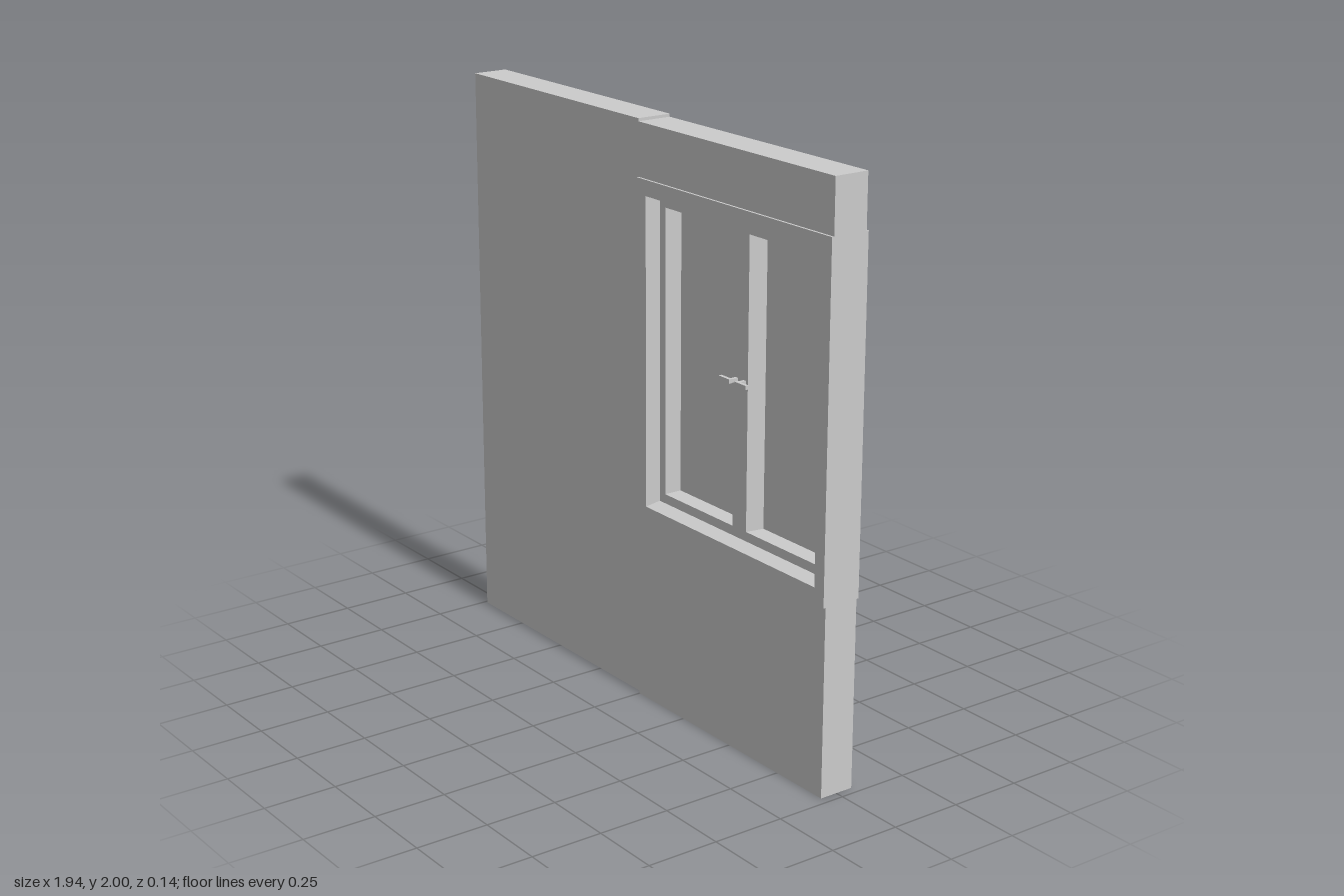
import * as THREE from 'three';

const grey = new THREE.MeshStandardMaterial({ color: 0xcccccc, flatShading: true });
const paneGrey = new THREE.MeshStandardMaterial({ color: 0xf0f0f0, flatShading: true });

// Box given by its limits on each axis
function block(name, [x0, x1], [y0, y1], [z0, z1], material = grey) {
  const mesh = new THREE.Mesh(new THREE.BoxGeometry(x1 - x0, y1 - y0, z1 - z0), material);
  mesh.position.set((x0 + x1) / 2, (y0 + y1) / 2, (z0 + z1) / 2);
  mesh.name = name;
  return mesh;
}

// Skin through rectangular loops [x0, x1, y0, y1, z]; the last joins the first
function rectLoft(loops) {
  const rings = loops.map(([x0, x1, y0, y1, z]) => [[x0, y0, z], [x1, y0, z], [x1, y1, z], [x0, y1, z]]);
  const pos = [];
  rings.forEach((a, k) => {
    const b = rings[(k + 1) % rings.length];
    for (let i = 0; i < 4; i++) {
      const j = (i + 1) % 4;
      pos.push(...a[i], ...a[j], ...b[j], ...a[i], ...b[j], ...b[i]);
    }
  });
  const geo = new THREE.BufferGeometry();
  geo.setAttribute('position', new THREE.Float32BufferAttribute(pos, 3));
  geo.computeVertexNormals();
  return geo;
}

export function createModel() {
  const model = new THREE.Group();
  model.name = 'wallWithWindow';
  const wallZ = [-0.062, 0.062];
  const frameY = [0.645, 1.81], paneY = [0.745, 1.72];

  // Plain panel, set slightly higher than the window panel
  model.add(block('plainWallPanel', [-0.97, 0], [0.01, 2], wallZ));

  // Wall below and above the window
  model.add(block('lowerWall', [0, 0.97], [0, frameY[0]], wallZ));
  model.add(block('upperWall', [0, 0.97], [frameY[1], 1.99], wallZ));

  const win = new THREE.Group();
  win.name = 'window';
  model.add(win);

  // Frame: outer faces, tapered reveal, sash step and pane opening
  const frame = new THREE.Mesh(rectLoft([
    [0, 0.97, ...frameY, -0.07],
    [0, 0.97, ...frameY, 0.07],
    [0.05, 0.925, 0.70, 1.757, 0.07],
    [0.06, 0.907, 0.713, 1.747, 0.02],
    [0.09, 0.88, ...paneY, 0.02],
    [0.09, 0.88, ...paneY, -0.07],
  ]), grey);
  frame.name = 'windowFrame';
  win.add(frame);

  // Central post with slightly tapered front sides
  const section = new THREE.Shape([
    [0.453, -0.02], [0.523, -0.02], [0.533, 0.045], [0.533, 0.07], [0.447, 0.07], [0.447, 0.045],
  ].map(([x, d]) => new THREE.Vector2(x, -d)));
  const postGeo = new THREE.ExtrudeGeometry(section, { depth: paneY[1] - paneY[0], bevelEnabled: false });
  postGeo.rotateX(-Math.PI / 2).translate(0, paneY[0], 0);
  // Shape y became -z, so mirror the depth through a half turn about the post's axis
  const post = new THREE.Mesh(postGeo, grey);
  post.name = 'centrePost';
  // The section is drawn with front at +y; a flip about x brings the front to +z
  post.rotation.x = Math.PI;
  post.position.y = paneY[0] + paneY[1];
  win.add(post);

  // Glass panes
  for (const [name, x] of [['rightPane', [0.09, 0.447]], ['leftPane', [0.533, 0.88]]]) {
    win.add(block(name, x, paneY, [-0.047, -0.043], paneGrey));
  }

  // Lever handles, mirrored about the post
  for (const side of [-1, 1]) {
    const handle = new THREE.Group();
    handle.name = side < 0 ? 'rightHandle' : 'leftHandle';
    const span = (a, b) => [0.487 + side * a, 0.487 + side * b].sort((p, q) => p - q);
    handle.add(block('lever', span(0.014, 0.068), [1.234, 1.248], [0.043, 0.055]));
    handle.add(block('stem', span(0.014, 0.026), [1.235, 1.247], [0.02, 0.043]));
    win.add(handle);
  }
  return model;
}
